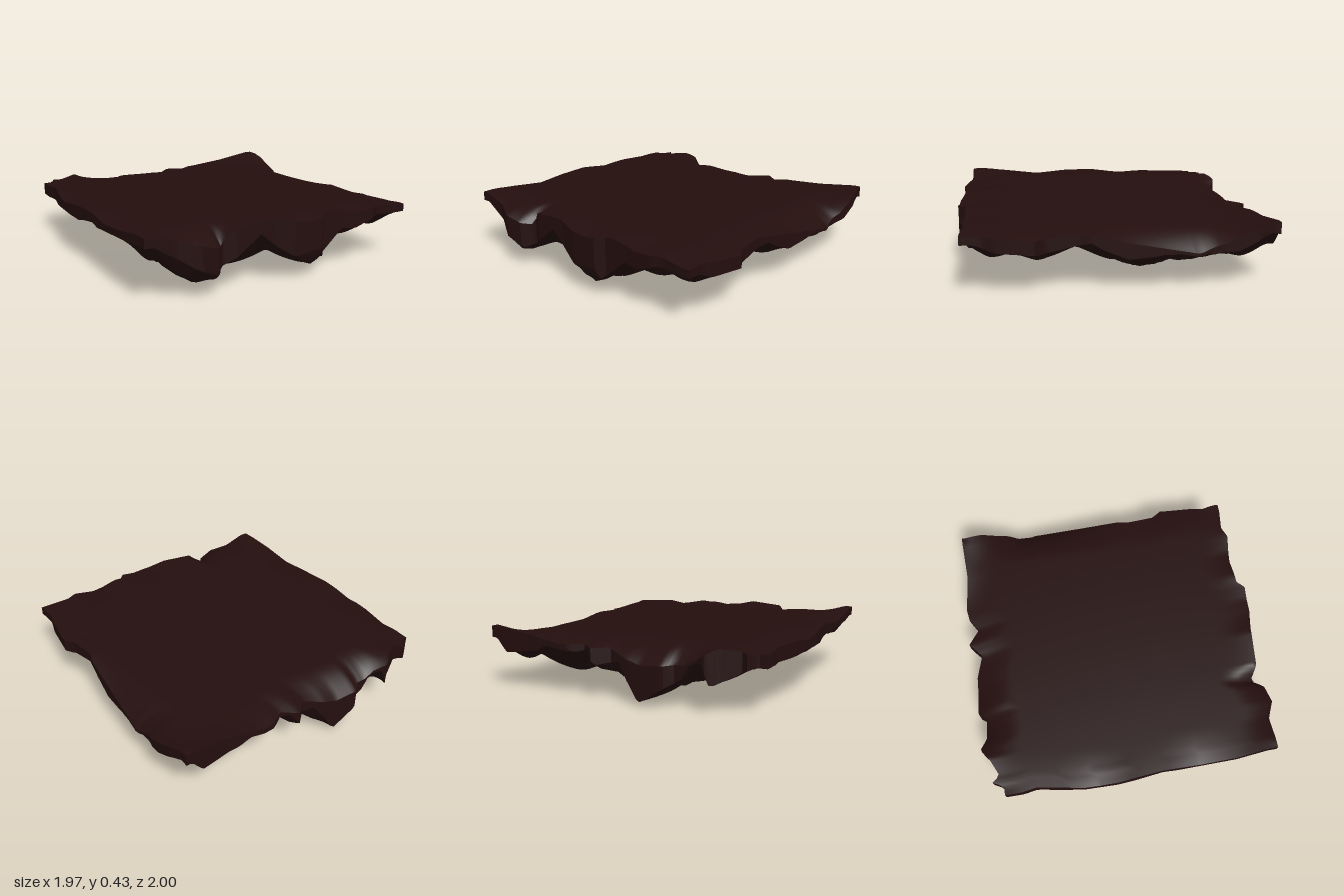
import * as THREE from 'three';
import { toCreasedNormals } from 'three/addons/utils/BufferGeometryUtils.js';

const N = 80;
const { lerp } = THREE.MathUtils;

// Piecewise linear lookup through [position, value] points
function curve(points) {
  return (t) => {
    if (t <= points[0][0]) return points[0][1];
    for (let i = 1; i < points.length; i++) {
      const [a, va] = points[i - 1], [b, vb] = points[i];
      if (t <= b) return va + (vb - va) * (t - a) / (b - a);
    }
    return points[points.length - 1][1];
  };
}

// Ragged plan outline of the slab
const outline = {
  back: curve([[-0.94, -0.87], [-0.9, -0.94], [-0.86, -0.89], [-0.72, -0.95], [-0.66, -1], [-0.58, -0.955],
    [-0.42, -0.945], [-0.37, -1], [-0.1, -0.975], [0.05, -0.92], [0.15, -1], [0.25, -0.925], [0.35, -0.98],
    [0.43, -0.99], [0.67, -0.955], [0.96, -0.96]]),
  front: curve([[-0.94, 0.94], [-0.78, 0.94], [-0.65, 1], [-0.52, 0.98], [-0.46, 0.9], [-0.38, 0.94],
    [-0.1, 0.96], [0.05, 0.99], [0.26, 1], [0.29, 0.95], [0.48, 0.94], [0.7, 0.97], [0.78, 0.94], [0.94, 0.96]]),
  minusX: curve([[-0.87, -0.94], [-0.77, -0.925], [-0.43, -0.98], [-0.18, -0.985], [0.15, -0.96],
    [0.7, -0.96], [0.94, -0.94]]),
  plusX: curve([[-0.96, 0.96], [-0.85, 0.985], [-0.65, 0.985], [-0.58, 0.965], [-0.45, 0.985], [0.2, 0.935],
    [0.28, 0.915], [0.48, 0.93], [0.55, 0.975], [0.8, 0.945], [0.87, 0.925], [0.96, 0.94]]),
};

// Height of the upper lip around the rim
const lipTop = {
  back: curve([[-0.94, 0.36], [-0.72, 0.385], [-0.6, 0.32], [-0.5, 0.27], [-0.2, 0.25], [0.07, 0.325],
    [0.43, 0.335], [0.66, 0.365], [0.95, 0.405]]),
  front: curve([[-0.94, 0.43], [-0.7, 0.36], [-0.47, 0.3], [-0.38, 0.405], [-0.12, 0.425], [0.02, 0.395],
    [0.15, 0.385], [0.36, 0.41], [0.56, 0.375], [0.72, 0.395], [0.95, 0.38]]),
  minusX: curve([[-0.85, 0.37], [-0.55, 0.375], [-0.33, 0.36], [-0.06, 0.395], [0.18, 0.395], [0.43, 0.375],
    [0.92, 0.43]]),
  plusX: curve([[-0.95, 0.405], [-0.8, 0.35], [-0.48, 0.235], [-0.08, 0.3], [0.26, 0.36], [0.58, 0.345],
    [0.95, 0.38]]),
};

// Height of the lower lip around the rim
const lipBottom = {
  back: curve([[-0.92, 0.28], [-0.68, 0.165], [-0.63, 0.3], [-0.54, 0.29], [-0.48, 0.19], [-0.19, 0.02],
    [-0.03, 0.25], [0.13, 0.22], [0.2, 0.31], [0.29, 0.285], [0.53, 0.31], [0.61, 0.27], [0.88, 0.235], [0.96, 0.33]]),
  front: curve([[-0.94, 0.37], [-0.64, 0.19], [-0.54, 0.12], [-0.37, 0.22], [-0.2, 0.34], [-0.07, 0.24],
    [0.2, 0.075], [0.46, 0.28], [0.57, 0.27], [0.73, 0.33], [0.94, 0.33]]),
  minusX: curve([[-0.9, 0.28], [-0.59, 0.28], [-0.22, 0.24], [-0.04, 0.3], [0.15, 0.34], [0.27, 0.32],
    [0.64, 0.35], [0.93, 0.37]]),
  plusX: curve([[-0.97, 0.36], [-0.85, 0.3], [-0.69, 0.225], [-0.42, 0.19], [-0.26, 0.235], [-0.07, 0.19],
    [0.13, 0.27], [0.2, 0.31], [0.5, 0.257], [0.785, 0.275], [0.94, 0.33]]),
};

// Lowest the rock may hang across the width and across the depth
const floorAcross = curve([[-0.98, 0.3], [-0.92, 0.25], [-0.79, 0.25], [-0.72, 0.16], [-0.57, 0.07], [-0.46, 0.12],
  [-0.38, 0.12], [-0.3, 0.06], [-0.15, 0.02], [0, 0.14], [0.1, 0.09], [0.18, 0.065], [0.28, 0.14], [0.4, 0.07],
  [0.48, 0], [0.6, 0.1], [0.74, 0.22], [0.81, 0.145], [0.92, 0.165], [0.98, 0.24]]);
const floorDeep = curve([[-0.97, 0.02], [-0.8, 0.06], [-0.7, 0.08], [-0.62, 0.06], [-0.5, 0.11], [-0.42, 0.05],
  [-0.18, 0], [0.03, 0.09], [0.25, 0.07], [0.5, 0.09], [0.55, 0.04], [0.72, 0.09], [0.8, 0.07], [0.95, 0.07], [1, 0.2]]);

// Hanging rock lumps: x, z, lowest y
const LUMPS = [
  [-0.57, 0.85, 0.07], [-0.22, 0.55, 0.04], [0.2, 0.84, 0.07], [0.17, 0.25, 0.07], [0.48, -0.2, 0.0],
  [-0.17, -0.92, 0.02], [-0.3, -0.6, 0.06], [-0.55, 0.3, 0.12], [-0.22, 0.08, 0.09], [-0.6, -0.2, 0.13],
  [-0.12, -0.28, 0.1], [0.14, -0.5, 0.11], [0.48, -0.62, 0.09], [0.45, 0.42, 0.11], [0.14, 0.56, 0.12],
  [-0.58, -0.82, 0.15], [0.3, -0.85, 0.18], [0.84, -0.75, 0.16], [0.84, -0.35, 0.15], [0.84, 0.05, 0.16],
  [0.84, 0.48, 0.18], [0.84, 0.8, 0.2], [-0.85, 0.6, 0.27], [-0.85, 0.05, 0.25], [-0.85, -0.4, 0.25],
  [-0.85, -0.8, 0.25], [0.55, 0.76, 0.18],
];

// Blend an inner height into the lip heights over a band along the edges
function towardLip(inner, lip, u, v, band) {
  const weight = (t) => Math.max(0, 1 - (1 - Math.abs(t)) / band) ** 2;
  const y = lerp(inner, (u < 0 ? lip.minusX : lip.plusX)(v), weight(u));
  return lerp(y, (v < 0 ? lip.back : lip.front)(u), weight(v));
}

// Plan position and heights at grid cell i, j
function sample(i, j) {
  const u = (i / N) * 2 - 1, v = (j / N) * 2 - 1;
  const x = lerp(outline.minusX(v), outline.plusX(v), i / N);
  const z = lerp(outline.back(u), outline.front(u), j / N);
  const top = towardLip(0.383 + 0.02 * z - 0.015 * x, lipTop, u, v, 0.26);
  let under = 0.29;
  for (const [lx, lz, ly] of LUMPS) under = Math.min(under, ly + 0.75 * Math.hypot(x - lx, z - lz) ** 1.4);
  under = Math.max(towardLip(under, lipBottom, u, v, 0.2), floorAcross(x), floorDeep(z));
  return { x, z, top, under: Math.min(under, top - 0.02) };
}
const topPoint = (i, j) => {
  const s = sample(i, j);
  return [s.x, s.top, s.z];
};
const underPoint = (i, j) => {
  const s = sample(i, j);
  return [s.x, s.under, s.z];
};

// Surface from a point rule over a columns by rows grid
function surface(columns, rows, point, flip) {
  const positions = [], index = [];
  for (let r = 0; r <= rows; r++) {
    for (let c = 0; c <= columns; c++) positions.push(...point(c, r));
  }
  for (let r = 0; r < rows; r++) {
    for (let c = 0; c < columns; c++) {
      const a = r * (columns + 1) + c, b = a + 1, d = a + columns + 1, e = d + 1;
      if (flip) index.push(a, b, d, b, e, d);
      else index.push(a, d, b, b, d, e);
    }
  }
  const geometry = new THREE.BufferGeometry();
  geometry.setAttribute('position', new THREE.Float32BufferAttribute(positions, 3));
  geometry.setIndex(index);
  return toCreasedNormals(geometry, 0.7);
}

// Grid cell at step s around the rim: back, +x, front, -x
function rimCell(s) {
  const side = Math.floor(s / N) % 4, k = s % N;
  return [[k, 0], [N, k], [N - k, N], [0, N - k]][side];
}

export function createModel() {
  const group = new THREE.Group();
  const darkRock = new THREE.MeshStandardMaterial({ color: 0x240e0e });
  darkRock.name = 'dark rock';

  const add = (name, geometry) => {
    const mesh = new THREE.Mesh(geometry, darkRock);
    mesh.name = name;
    group.add(mesh);
  };

  // Nearly flat ground, rolling down at the edges
  add('topSurface', surface(N, N, topPoint, false));
  // Lumpy rock below
  add('underside', surface(N, N, underPoint, true));
  // Broken edge joining the two
  add('rim', surface(4 * N, 1, (s, r) => (r ? underPoint : topPoint)(...rimCell(s)), true));
  return group;
}
